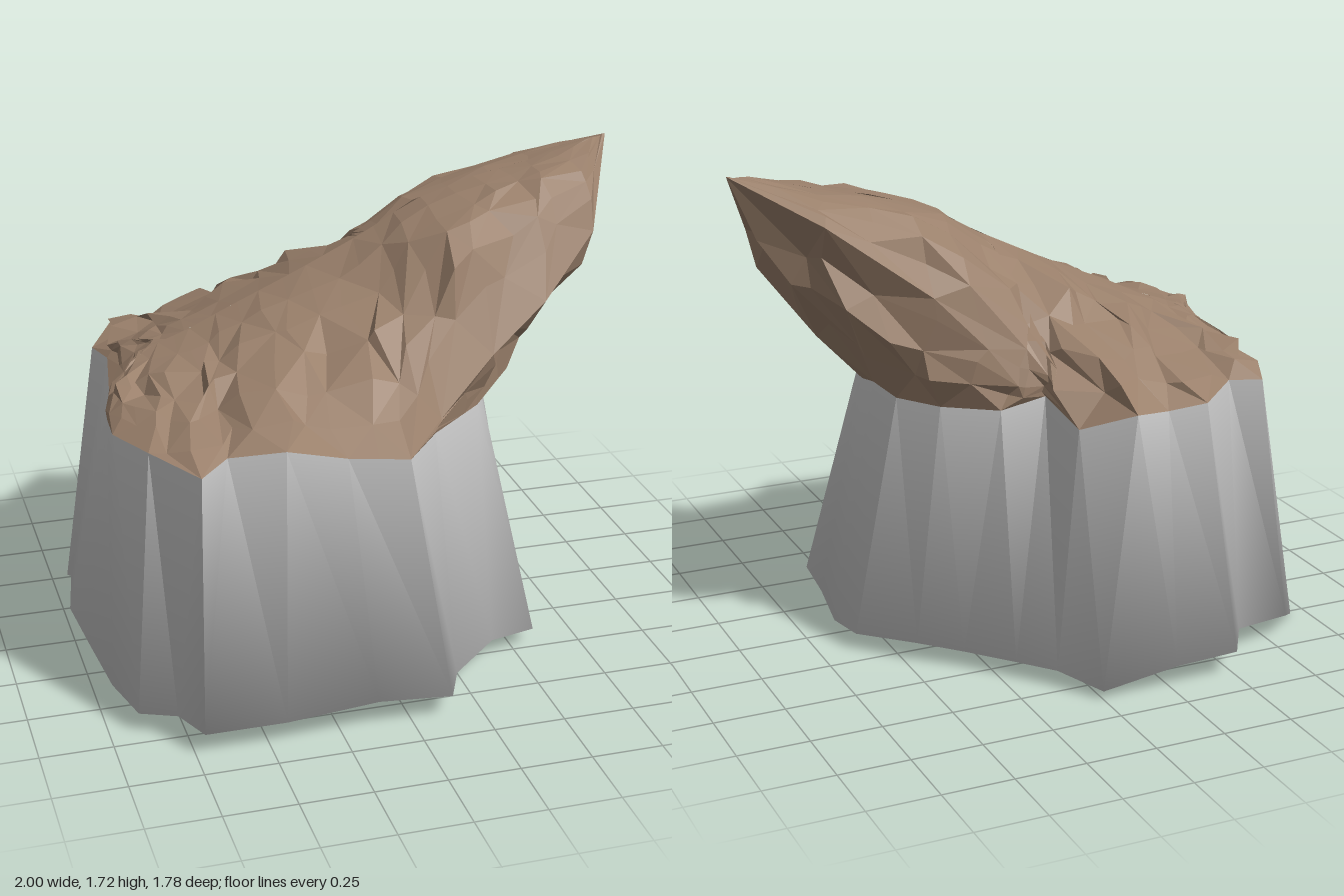
import * as THREE from 'three';

// Rim where the rock meets the skirt, listed from the left round by the front
const rim = [
  [-0.84, 0.97, 0.02], [-0.89, 0.96, 0.25], [-0.9, 0.97, 0.4], [-0.82, 0.98, 0.6], [-0.69, 0.96, 0.8],
  [-0.58, 0.97, 0.69], [-0.4, 1.0, 0.76], [-0.2, 0.96, 0.78], [0, 0.95, 0.82], [0.15, 0.94, 0.62],
  [0.39, 0.91, 0.36], [0.46, 0.94, 0.15], [0.5, 0.93, 0.05], [0.5, 0.95, -0.06], [0.47, 0.93, -0.2],
  [0.37, 0.93, -0.35], [0.2, 0.93, -0.47], [0.05, 0.97, -0.5], [0.02, 0.91, -0.7], [-0.13, 0.98, -0.83],
  [-0.27, 0.96, -0.78], [-0.4, 0.98, -0.81], [-0.6, 0.97, -0.6], [-0.71, 0.97, -0.64],
  [-0.82, 0.96, -0.42], [-0.79, 0.97, -0.28],
].map(p => new THREE.Vector3(...p));

// Outer edge of the overhang, matching rim points 9 to 17
const overhang = [
  [0.17, 0.99, 0.62], [0.4, 1.14, 0.48], [0.62, 1.28, 0.39], [0.85, 1.46, 0.23], [1, 1.72, -0.06],
  [0.75, 1.58, -0.31], [0.4, 1.32, -0.38], [0.1, 1.13, -0.46], [0.05, 1.05, -0.52],
].map(p => new THREE.Vector3(...p));
const edge = rim.map((p, i) => overhang[i - 9] ?? p);

// Lower edge of the skirt, in the same order
const foot = [
  [-1, 0.09, -0.08], [-0.98, 0.09, 0.2], [-0.95, 0.07, 0.47], [-0.9, 0.07, 0.68], [-0.78, 0.08, 0.75],
  [-0.72, 0.08, 0.89], [-0.44, 0.08, 0.89], [-0.12, 0.1, 0.88], [0.14, 0.08, 0.88], [0.21, 0.07, 0.72],
  [0.41, 0.06, 0.52], [0.58, 0.06, 0.48], [0.62, 0.08, 0.2], [0.65, 0.06, -0.02], [0.62, 0.06, -0.16],
  [0.46, 0.07, -0.34], [0.33, 0.06, -0.45], [0.2, 0.06, -0.6], [0.1, 0.06, -0.72], [0, 0.03, -0.87],
  [-0.27, 0.08, -0.89], [-0.5, 0.09, -0.89], [-0.6, 0.09, -0.73], [-0.82, 0.08, -0.68],
  [-0.94, 0, -0.52], [-0.95, 0.08, -0.35],
].map(p => new THREE.Vector3(...p));

// Crest running up to the tip
const ridge = [
  [-0.72, 1.08], [-0.55, 1.14], [-0.4, 1.21], [-0.15, 1.32], [0.1, 1.44], [0.27, 1.54], [0.5, 1.61],
  [0.7, 1.65], [0.92, 1.71],
];

// Crest point belonging to an edge point at a given x
function crestAt(x) {
  const cx = THREE.MathUtils.mapLinear(x, -0.9, 1, -0.72, 0.92);
  const i = Math.max(1, ridge.findIndex(r => r[0] >= cx - 1e-6));
  const [[x0, y0], [x1, y1]] = [ridge[i - 1], ridge[i]];
  return new THREE.Vector3(cx, THREE.MathUtils.mapLinear(cx, x0, x1, y0, y1), -0.04);
}

function seeded(seed) {
  return () => {
    seed = (seed * 16807) % 2147483647;
    return seed / 2147483647 - 0.5;
  };
}

// Adds a midpoint between neighbours of a closed loop
const subdivide = loop => loop.flatMap((p, i) => [p.clone(), p.clone().lerp(loop[(i + 1) % loop.length], 0.5)]);

// Builds a smooth geometry from points, leaving out collapsed triangles
function meshFrom(points, triangles) {
  const kept = triangles.filter(t => t.every((a, i) => points[a].distanceTo(points[t[(i + 1) % 3]]) > 1e-5));
  const geometry = new THREE.BufferGeometry().setFromPoints(points);
  geometry.setIndex(kept.flat());
  geometry.computeVertexNormals();
  return geometry;
}

// Pleated wall and underside: shading is faceted at the rim and smooth at the foot
function skirtGeometry() {
  const n = rim.length, triangles = [];
  for (let i = 0; i < n; i++) {
    const j = (i + 1) % n;
    triangles.push([i, j, n + i], [j, n + j, n + i], [2 * n, j, i]);
  }
  const points = [...foot, ...rim, new THREE.Vector3(-0.15, 0.08, 0)];
  const geometry = meshFrom(points, triangles).toNonIndexed();
  const faceted = geometry.clone();
  faceted.computeVertexNormals();
  const { position, normal } = geometry.attributes;
  const flat = faceted.attributes.normal;
  for (let i = 0; i < position.count; i++) {
    if (position.getY(i) > 0.5) normal.setXYZ(i, flat.getX(i), flat.getY(i), flat.getZ(i));
  }
  return geometry;
}

function rockGeometry() {
  const rand = seeded(4711);
  const low = subdivide(rim), high = subdivide(edge), n = low.length;
  const loops = [];
  // Underside of the overhang, bulging a little from the rim out to its edge
  for (const u of [0, 0.25, 0.5, 0.75, 1]) {
    loops.push(low.map((p, i) => {
      const span = p.distanceTo(high[i]);
      const rough = u % 1 ? Math.min(0.1, span * 0.25) : 0;
      const q = p.clone().lerp(high[i], u);
      q.x += 0.16 * span * u * (1 - u);
      return q.add(new THREE.Vector3(rand(), rand(), rand()).multiplyScalar(rough));
    }));
  }
  // Upper slope, from the edge in to the crest: gentle on the left, steep-sided under the tip
  for (const s of [0.86, 0.7, 0.53, 0.36, 0.18, 0]) {
    loops.push(high.map(p => {
      const top = crestAt(p.x);
      const power = 1.4 + 2.4 * THREE.MathUtils.smoothstep(p.x, 0, 0.35);
      const q = top.clone().lerp(p, s);
      q.y = p.y + (top.y - p.y) * (1 - s ** power);
      const rough = Math.min(0.6, p.distanceTo(top)) * Math.min(1, s * 2);
      return q.add(new THREE.Vector3(rand() * 0.15, rand() * 0.08, rand() * 0.1).multiplyScalar(rough));
    }));
  }
  // Skin with alternating diagonals
  const triangles = [];
  for (let k = 0; k + 1 < loops.length; k++) {
    for (let i = 0; i < n; i++) {
      const a = k * n + i, b = k * n + (i + 1) % n;
      if ((i + k) % 2) triangles.push([a, b, a + n], [b, b + n, a + n]);
      else triangles.push([a, b, b + n], [a, b + n, a + n]);
    }
  }
  return meshFrom(loops.flat(), triangles);
}

export function createModel() {
  const model = new THREE.Group();
  model.name = 'rockOutcrop';

  const skirt = new THREE.Mesh(skirtGeometry(), new THREE.MeshStandardMaterial({ color: 0xcccccc }));
  skirt.name = 'skirt';

  const rock = new THREE.Mesh(
    rockGeometry(),
    new THREE.MeshStandardMaterial({ color: 0x9a806b, flatShading: true, side: THREE.DoubleSide }),
  );
  rock.name = 'overhangingRock';

  model.add(skirt, rock);
  return model;
}
